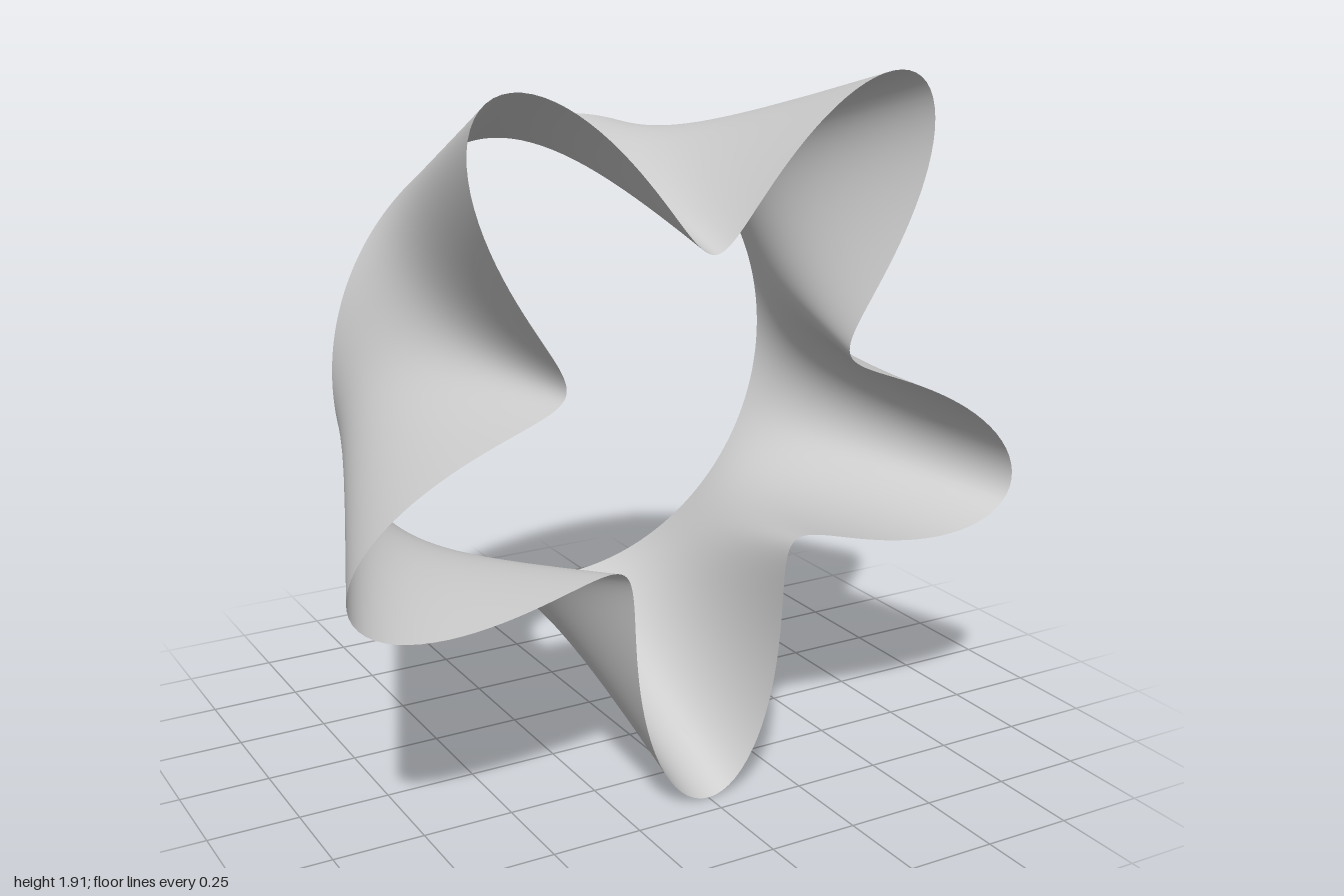
import * as THREE from 'three';
import { ParametricGeometry } from 'three/addons/geometries/ParametricGeometry.js';

const RADIUS = 0.697;      // round back rim
const HALF_DEPTH = 0.435;
const CENTER_Y = 1.046;
const LOBES = 5;

// Radius of the wavy front rim; t = 0 is the tip of the bottom lobe.
function frontRadius(t) {
  const c = Math.cos(LOBES * t);
  return RADIUS + 0.3027 * c + 0.0467 * c * c;
}

// Straight lines run from the round back rim to the five-lobed front rim.
function bandPoint(u, v, target) {
  const t = u * Math.PI * 2;
  const r = THREE.MathUtils.lerp(RADIUS, frontRadius(t), v);
  target.set(
    r * Math.sin(t),
    CENTER_Y - r * Math.cos(t),
    THREE.MathUtils.lerp(-HALF_DEPTH, HALF_DEPTH, v)
  );
}

export function createModel() {
  const group = new THREE.Group();
  group.name = 'lobedRing';

  // Thin open band, visible from both sides
  const band = new THREE.Mesh(
    new ParametricGeometry(bandPoint, 300, 24),
    new THREE.MeshStandardMaterial({ color: 0xcccccc, side: THREE.DoubleSide })
  );
  band.name = 'wavyBand';
  group.add(band);

  return group;
}
